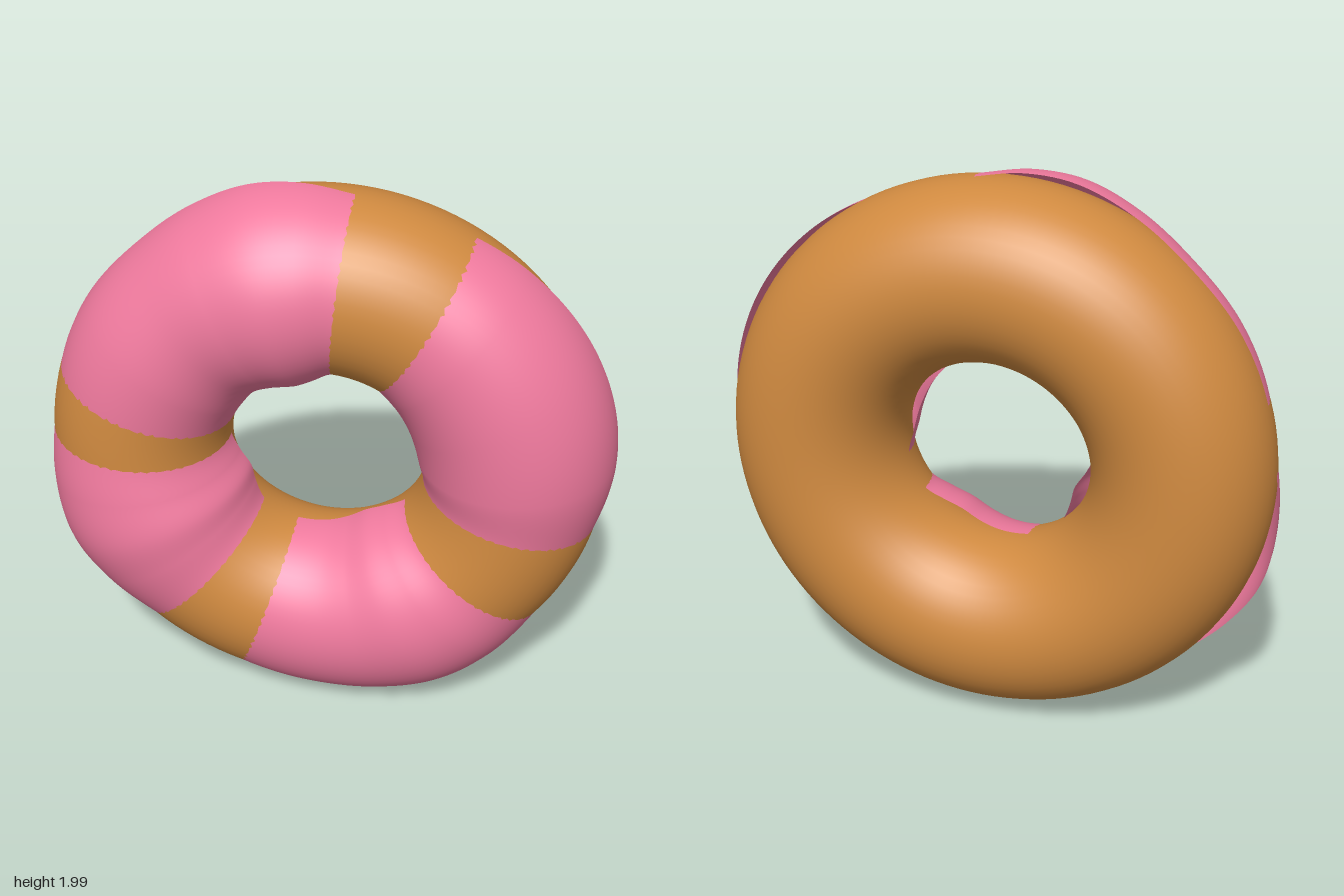
import * as THREE from 'three';
import { ParametricGeometry } from 'three/addons/geometries/ParametricGeometry.js';

const RING = 0.66;   // radius of the ring's centre line
const TUBE = 0.315;  // thickness radius of the dough

// Icing height over the dough by angle (degrees); below zero it sinks in and the dough shows.
const HEIGHTS = [
  [3, 0.028], [25, 0.032], [48, 0.015], [60, 0], [72, -0.012], [85, 0],
  [95, 0.028], [105, 0.041], [117, 0.028], [131, 0.009], [147, 0.008], [162, 0],
  [170, -0.01], [177.5, 0], [189, 0.025], [202, 0.045], [214, 0.028], [227.5, 0],
  [240, -0.012], [251.5, 0], [270, 0.018], [283, 0.033], [297, 0.045], [310, 0.03],
  [323.3, 0], [336, -0.012], [348, 0],
];

// Smooth periodic curve through the heights
function icingHeight(degrees) {
  const n = HEIGHTS.length;
  const key = (i) => {
    const turn = Math.floor(i / n);
    const [a, h] = HEIGHTS[i - turn * n];
    return [a + 360 * turn, h];
  };
  let i = -1;
  while (key(i + 1)[0] <= degrees) i++;
  const [p, a, b, q] = [key(i - 1), key(i), key(i + 1), key(i + 2)];
  const w = b[0] - a[0];
  const t = (degrees - a[0]) / w;
  const ma = w * (b[1] - p[1]) / (b[0] - p[0]);
  const mb = w * (q[1] - a[1]) / (q[0] - a[0]);
  const t2 = t * t, t3 = t2 * t;
  return (2 * t3 - 3 * t2 + 1) * a[1] + (t3 - 2 * t2 + t) * ma
    + (3 * t2 - 2 * t3) * b[1] + (t3 - t2) * mb;
}

export function createModel() {
  const doughnut = new THREE.Group();
  doughnut.name = 'doughnut';

  // Plain ring of dough
  const dough = new THREE.Mesh(
    new THREE.TorusGeometry(RING, TUBE, 48, 128),
    new THREE.MeshStandardMaterial({ color: 0xd08a40 }),
  );
  dough.name = 'dough';

  // Front half shell of icing, swelling and sinking around the ring
  const shell = new ParametricGeometry((u, v, target) => {
    const around = u * Math.PI * 2;
    const across = v * Math.PI;
    const r = TUBE + icingHeight(u * 360);
    const d = RING + r * Math.cos(across);
    target.set(d * Math.cos(around), d * Math.sin(around), r * Math.sin(across));
  }, 240, 32);
  const icing = new THREE.Mesh(
    shell,
    new THREE.MeshStandardMaterial({ color: 0xf07a9e, side: THREE.DoubleSide }),
  );
  icing.name = 'icing';

  // Stand the ring on its edge
  for (const part of [dough, icing]) {
    part.position.set(-0.01, 1, -0.023);
    doughnut.add(part);
  }
  return doughnut;
}
